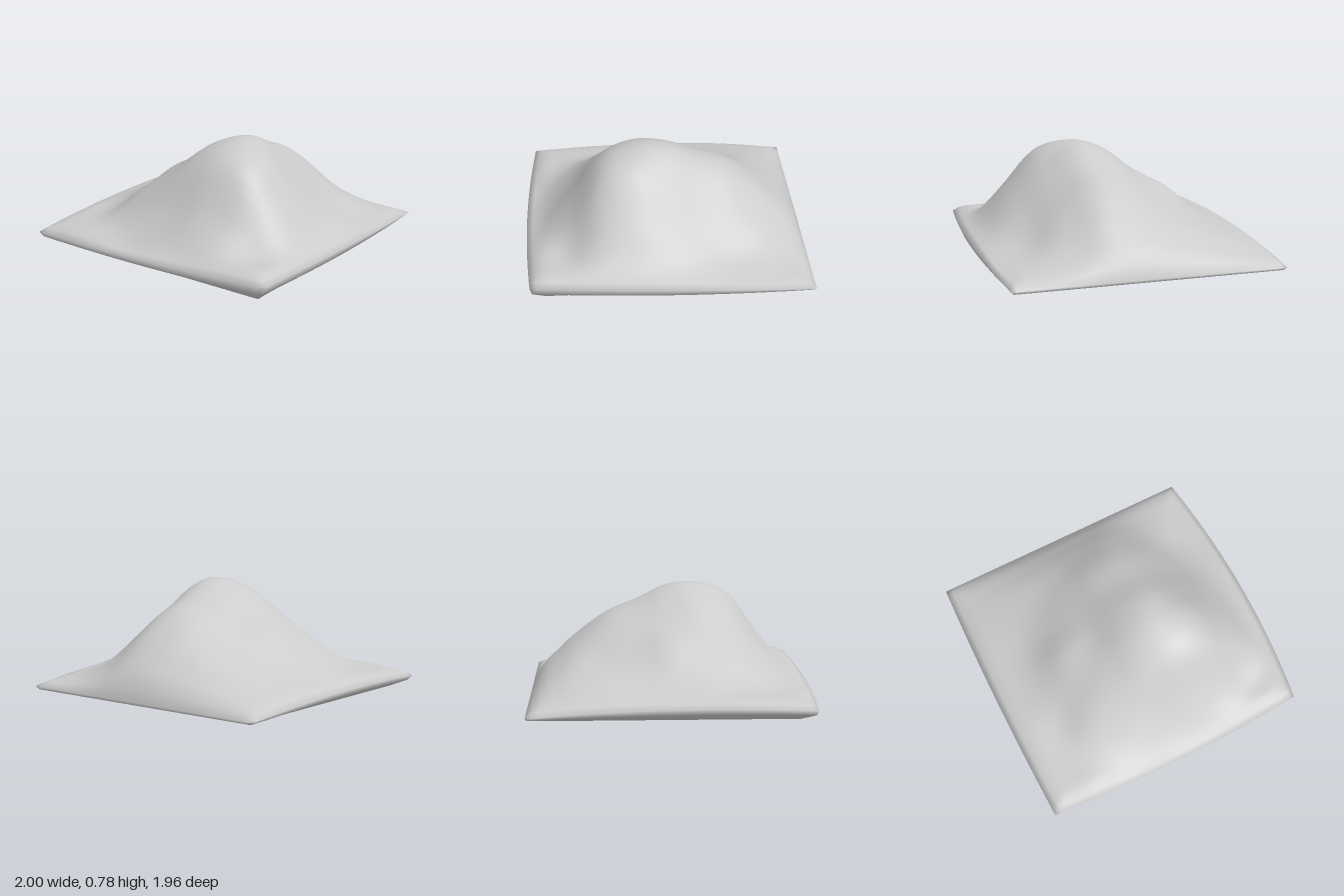
import * as THREE from 'three';
import { mergeVertices } from 'three/addons/utils/BufferGeometryUtils.js';

// Hill heights: rows run from back to front, columns from -x to +x, spaced evenly over -0.9..0.9
const heights = [
  [.10, .13, .16, .19, .22, .21, .15, .11, .10],
  [.13, .19, .26, .33, .39, .40, .27, .16, .11],
  [.15, .22, .31, .43, .55, .56, .40, .20, .13],
  [.155, .23, .37, .50, .63, .66, .50, .28, .16],
  [.155, .25, .44, .55, .71, .765, .62, .38, .18],
  [.155, .24, .40, .56, .72, .775, .70, .44, .19],
  [.15, .19, .35, .48, .61, .68, .63, .40, .19],
  [.14, .16, .22, .29, .34, .38, .33, .22, .19],
  [.13, .15, .14, .13, .15, .16, .18, .19, .19],
];
const { clamp, lerp } = THREE.MathUtils;

// Catmull-Rom blend of four neighbours
function cubic(a, b, c, d, t) {
  return b + 0.5 * t * (c - a + t * (2 * a - 5 * b + 4 * c - d + t * (3 * (b - c) + d - a)));
}

// Sample a list smoothly at fractional index f, reading entries through get(i)
function sample(get, f) {
  const i = Math.min(Math.floor(f), 7);
  const at = (k) => get(clamp(k, 0, 8));
  return cubic(at(i - 1), at(i), at(i + 1), at(i + 2), f - i);
}

function hillHeight(x, z) {
  const col = (clamp(x, -0.9, 0.9) + 0.9) / 0.225;
  const row = (clamp(z, -0.9, 0.9) + 0.9) / 0.225;
  return sample((r) => sample((c) => heights[r][c], col), row);
}

// Height of the outermost edge of the slab
function rimHeight(u, v) {
  const s = (u + 1) / 2, t = (v + 1) / 2;
  const base = lerp(lerp(0.045, 0.055, s), lerp(0.08, 0.135, s), t);
  return base + 0.035 * (1 - v * v) * Math.abs(u);
}

export function createModel() {
  const group = new THREE.Group();

  // A subdivided box: its top becomes the hill, its sides a rounded rim over a flat base
  const box = new THREE.BoxGeometry(2, 2, 2, 44, 2, 44);
  box.deleteAttribute('normal');
  box.deleteAttribute('uv');
  const geometry = mergeVertices(box);
  const pos = geometry.attributes.position;

  for (let i = 0; i < pos.count; i++) {
    const u = pos.getX(i), v = pos.getZ(i), level = pos.getY(i);
    // Slightly bulging outline
    const x = u * (u > 0 ? 0.935 + 0.065 * (1 - v * v) : 0.98 + 0.02 * (1 - v * v));
    const z = v * (v > 0 ? 0.94 + 0.04 * (1 - u * u) : 0.975 + 0.007 * u);
    if (level < -0.5) {
      pos.setXYZ(i, u * 0.84 - 0.01, 0, v * 0.84);
    } else if (level < 0.5) {
      // Underside of the rim
      pos.setXYZ(i, x * 0.975, rimHeight(u, v) * 0.58, z * 0.985);
    } else {
      // Rounded drop to the rim
      const edge = clamp((Math.max(Math.abs(u), Math.abs(v)) - 0.86) / 0.14, 0, 1);
      pos.setXYZ(i, x, lerp(hillHeight(x, z), rimHeight(u, v), edge ** 2), z);
    }
  }
  geometry.computeVertexNormals();

  const hill = new THREE.Mesh(geometry, new THREE.MeshStandardMaterial({ color: 0xcccccc }));
  hill.name = 'hill';
  group.add(hill);
  return group;
}
